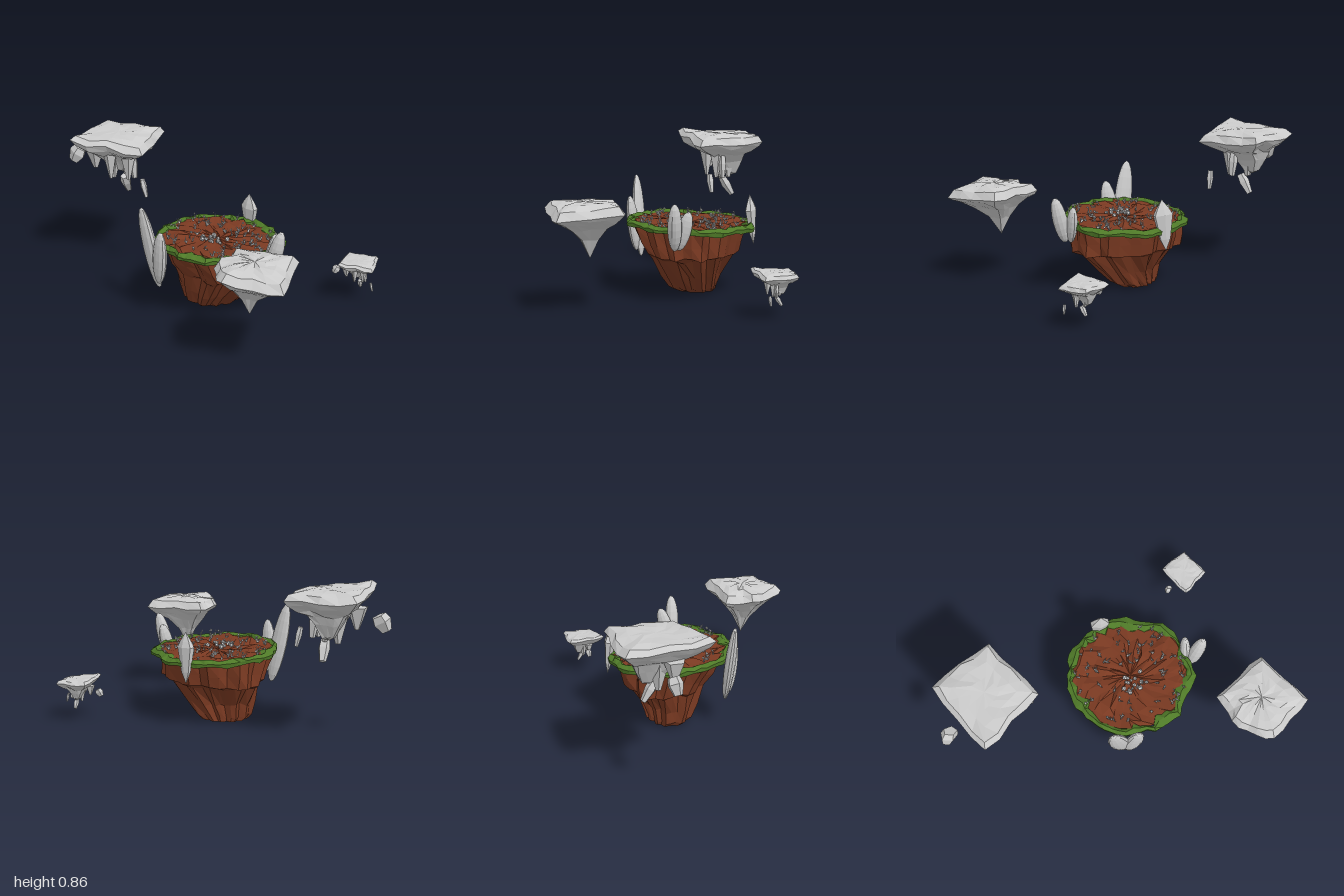
import * as THREE from 'three';
import { mergeGeometries } from 'three/addons/utils/BufferGeometryUtils.js';

const mat = (color) => new THREE.MeshStandardMaterial({ color, flatShading: true });
const STONE = mat(0xcccccc), EARTH = mat(0x7b3a22), GRASS = mat(0x4f7a28);

function seeded(seed) {
  return (a = 0, b = 1) => {
    seed = (seed * 16807) % 2147483647;
    return a + (b - a) * (seed / 2147483647);
  };
}

// Skin over rings of [x, y, z] points, ordered from top centre outwards and down.
function loft(rings, closed = false) {
  const n = rings[0].length, idx = [];
  const last = closed ? rings.length : rings.length - 1;
  for (let i = 0; i < last; i++) for (let j = 0; j < n; j++) {
    const k = (j + 1) % n, r = (i + 1) % rings.length;
    const a = i * n + j, b = i * n + k, c = r * n + j, d = r * n + k;
    idx.push(a, b, c, b, d, c);
  }
  let g = new THREE.BufferGeometry();
  g.setAttribute('position', new THREE.Float32BufferAttribute(rings.flat(2), 3));
  g.setIndex(idx);
  g = g.toNonIndexed();
  g.computeVertexNormals();
  return g;
}

function add(parent, name, geometry, material) {
  const m = new THREE.Mesh(geometry, material);
  m.name = name;
  parent.add(m);
  return m;
}

const tilt = (z) => (z - 0.09) * 0.05;

function mainIsland() {
  const g = new THREE.Group(), rnd = seeded(77), n = 32;
  g.name = 'mainIsland';
  const column = Array.from({ length: n }, (_, j) => (j % 3 === 1 ? rnd(0.86, 0.94) : rnd(0.96, 1.04)));

  // earth: lumpy top, cliff, ledge and tapered root; y, x range, z range
  const top = [[0, 0.4], [0.2, 0.4], [0.42, 0.402], [0.64, 0.402], [0.84, 0.404], [0.97, 0.4]].map(([s, y]) =>
    column.map((c, j) => {
      const t = (j / n) * Math.PI * 2 + (s < 0.9 ? rnd(-0.07, 0.07) : 0);
      const w = s * (s && s < 0.9 ? rnd(0.88, 1.12) : 1), z = 0.09 + Math.sin(t) * 0.33 * w;
      return [0.09 + Math.cos(t) * 0.335 * w, y + tilt(z) + (s ? rnd(-0.014, 0.014) : 0), z];
    }));
  const side = [
    [0.385, -0.25, 0.428, -0.205, 0.39], [0.3, -0.245, 0.425, -0.185, 0.345],
    [0.235, -0.237, 0.42, -0.167, 0.305], [0.218, -0.195, 0.37, -0.14, 0.29],
    [0.11, -0.16, 0.265, -0.1, 0.265], [0.035, -0.14, 0.185, -0.065, 0.238],
    [0.008, -0.12, 0.135, -0.045, 0.205], [0, 0.01, 0.01, 0.1, 0.1],
  ].map(([y, x0, x1, z0, z1]) => column.map((c, j) => {
    const t = (j / n) * Math.PI * 2;
    const chop = y < 0.15 ? 0.3 * Math.max(0, Math.cos(t - Math.PI * 1.27)) ** 2 : 0;
    const w = (c - chop) * rnd(0.97, 1.03);
    return [(x0 + x1) / 2 + Math.cos(t) * (x1 - x0) / 2 * w,
      y + (y > 0.01 && y < 0.3 ? rnd(-0.01, 0.01) : 0),
      (z0 + z1) / 2 + Math.sin(t) * (z1 - z0) / 2 * w];
  }));
  add(g, 'earthBody', loft([...top, ...side]), EARTH);

  // ragged grass border
  const m = 54, edge = Array.from({ length: m }, (_, j) =>
    0.985 + 0.03 * Math.sin(j * 0.82) + rnd(-0.03, 0.03));
  const inner = edge.map(() => rnd(0.74, 0.92));
  const grass = [[0, 0.404], [0.5, 0.416], [1, 0.4], [0.93, 0.379], [-0.2, 0.381]].map(([f, y]) =>
    edge.map((e, j) => {
      const t = (j / m) * Math.PI * 2, s = inner[j] + (e - inner[j]) * f;
      const z = 0.09 + Math.sin(t) * 0.36 * s;
      return [0.09 + Math.cos(t) * 0.36 * s, y + tilt(z) + rnd(-0.006, 0.006), z];
    }));
  add(g, 'grassBorder', loft(grass, true), GRASS);

  // small plants and pebbles
  const bits = [], put = (geo, x, y, z, s) => {
    geo = geo.index ? geo.toNonIndexed() : geo;
    bits.push(geo.rotateX(s[1]).rotateZ(s[2]).scale(s[0], s[0], s[0]).translate(x, y, z));
  };
  for (let i = 0; i < 75; i++) {
    const t = rnd(0, Math.PI * 2), r = 0.31 * Math.sqrt(rnd(0.05, 1));
    const x = 0.09 + Math.cos(t) * r, z = 0.09 + Math.sin(t) * r, y = 0.405 + tilt(z);
    for (let k = 0; k < 3; k++) {
      const h = rnd(0.6, 1.1);
      put(new THREE.ConeGeometry(0.13, 1, 4).translate(0, 0.5, 0), x, y, z,
        [0.04 * h, rnd(-0.8, 0.8), rnd(-0.8, 0.8)]);
    }
    put(new THREE.OctahedronGeometry(1), x + rnd(-0.01, 0.01), y + rnd(0.005, 0.035),
      z + rnd(-0.01, 0.01), [rnd(0.005, 0.01), rnd(0, 3), rnd(0, 3)]);
  }
  for (let i = 0; i < 16; i++) {
    const z = 0.14 + rnd(-0.06, 0.06);
    put(new THREE.DodecahedronGeometry(1), 0.1 + rnd(-0.08, 0.08), 0.412 + tilt(z), z,
      [rnd(0.008, 0.014), rnd(0, 3), rnd(0, 3)]);
  }
  add(g, 'plantsAndPebbles', mergeGeometries(bits), STONE);
  return g;
}

// Upright stone between two end points; wx and wz are half widths.
function stone(parent, name, from, to, wx, wz, geo) {
  const a = new THREE.Vector3(...from), b = new THREE.Vector3(...to);
  const m = add(parent, name, geo, STONE), d = b.clone().sub(a);
  m.position.copy(a).add(b).multiplyScalar(0.5);
  m.scale.set(wx, d.length() / 2, wz);
  m.quaternion.setFromUnitVectors(new THREE.Vector3(0, 1, 0), d.normalize());
}

// Thin slab with a tapering underside. corners: [x, z, y offset];
// rings: [scale, y, centre x, centre z], the rim being the ring of scale 1.
function floatingSlab(corners, rings, seed) {
  const rnd = seeded(seed), seg = 4, outline = [];
  corners.forEach((c, i) => {
    const d = corners[(i + 1) % corners.length];
    for (let k = 0; k < seg; k++) {
      const p = c.map((v, q) => v + (d[q] - v) * k / seg), w = k ? rnd(0.98, 1.08) : 1;
      outline.push([p[0] * w, p[1] * w, k ? p[2] + rnd(-0.014, 0.008) : p[2]]);
    }
  });
  return loft(rings.map(([s, y, cx = 0, cz = 0]) => outline.map(([x, z, dy]) => {
    const soft = s > 0 && s < 1, w = soft ? s * rnd(0.96, 1.04) : s;
    return [cx + x * w, y + dy * s ** 3 + (soft ? rnd(-0.006, 0.006) : 0), cz + z * w];
  })));
}

// Slab with hanging spikes and loose fragments, origin at rim height.
function spikyRock(name) {
  const g = new THREE.Group();
  g.name = name;
  add(g, 'slab', floatingSlab(
    [[0.074, -0.278, -0.005], [0.275, 0.05, -0.03], [-0.055, 0.308, 0.04], [-0.263, -0.1, 0.005]],
    [[0, 0.04], [0.3, 0.041], [0.6, 0.038], [0.87, 0.032], [1, 0], [0.9, -0.028],
      [0.7, -0.062], [0.52, -0.088, -0.01, -0.01], [0.34, -0.135, -0.03, -0.03],
      [0.16, -0.205, -0.03, -0.04], [0, -0.225, -0.03, -0.04]], 31), STONE);
  // x, z, tip y, radius
  [[-0.04, 0.02, -0.25, 0.065], [0.09, 0.01, -0.23, 0.05], [-0.09, 0.11, -0.18, 0.06],
    [0.03, 0.09, -0.22, 0.045], [0.0, -0.04, -0.235, 0.06]].forEach(([x, z, y, r], i) => {
    const c = add(g, 'hangingSpike', new THREE.CylinderGeometry(r, r * 0.22, -0.06 - y, 5), STONE);
    c.position.set(x, (y - 0.06) / 2, z);
    c.rotation.y = i;
  });
  // loose fragments: position, half sizes, lean about x and z
  const chunk = new THREE.CylinderGeometry(0.75, 0.55, 2, 5, 2), p = chunk.attributes.position;
  for (let i = 0; i < p.count; i++) {
    if (Math.abs(p.getY(i)) < 0.1) p.setXYZ(i, p.getX(i) * 1.5, 0.2, p.getZ(i) * 1.5);
  }
  [[-0.235, -0.13, 0.14, 0.055, 0.046, 0.042, -0.2, -0.4], [0.01, -0.285, -0.035, 0.034, 0.062, 0.03, 0.6, -0.3],
    [0.225, -0.25, 0.0, 0.018, 0.055, 0.022, 0.1, 0.15], [0.09, -0.16, -0.03, 0.03, 0.07, 0.025, 0, 0.1],
  ].forEach(([x, y, z, a, b, c, rx, rz]) => {
    const f = add(g, 'looseFragment', chunk, STONE);
    f.position.set(x, y, z);
    f.scale.set(a, b, c);
    f.rotation.set(rx, 0.4, rz);
  });
  return g;
}

export function createModel() {
  const model = new THREE.Group();
  model.name = 'floatingIslands';
  model.add(mainIsland());

  // rounded standing stones around the border
  const round = new THREE.SphereGeometry(1, 12, 10);
  stone(model, 'frontTallStone', [-0.02, 0.168, 0.43], [-0.095, 0.632, 0.485], 0.055, 0.03, round);
  stone(model, 'frontShortStone', [0.0, 0.205, 0.45], [0.05, 0.525, 0.47], 0.05, 0.03, round);
  stone(model, 'leftTallStone', [0.45, 0.295, 0.055], [0.52, 0.555, 0.03], 0.042, 0.038, round);
  stone(model, 'leftShortStone', [0.425, 0.295, 0.045], [0.43, 0.505, -0.02], 0.03, 0.04, round);

  // pointed crystal at the back
  const profile = [[0, -1], [0.55, -0.55], [1, 0.4], [0.7, 0.62], [0, 1]];
  const crystal = new THREE.LatheGeometry(profile.map((p) => new THREE.Vector2(...p)), 6);
  stone(model, 'backCrystal', [-0.025, 0.27, -0.24], [-0.005, 0.555, -0.222], 0.06, 0.03, crystal);

  // satellite rocks
  const high = spikyRock('highRock');
  high.position.set(-0.71, 0.797, 0.16);
  const low = spikyRock('lowRock');
  low.position.set(0.567, 0.228, -0.53);
  low.scale.setScalar(0.465);
  model.add(high, low);

  const cone = add(model, 'coneRock', floatingSlab(
    [[0.07, -0.24, 0], [0.258, 0.05, -0.025], [0.01, 0.232, 0.015], [-0.16, 0.13, 0], [-0.232, -0.07, 0]],
    [[0, 0.053], [0.3, 0.053], [0.6, 0.05], [0.86, 0.037], [1, 0], [0.92, -0.018],
      [0.75, -0.045], [0.5, -0.085, -0.02], [0.25, -0.145, -0.03], [0, -0.25, -0.035]], 12), STONE);
  cone.position.set(0.74, 0.53, 0.43);
  return model;
}
